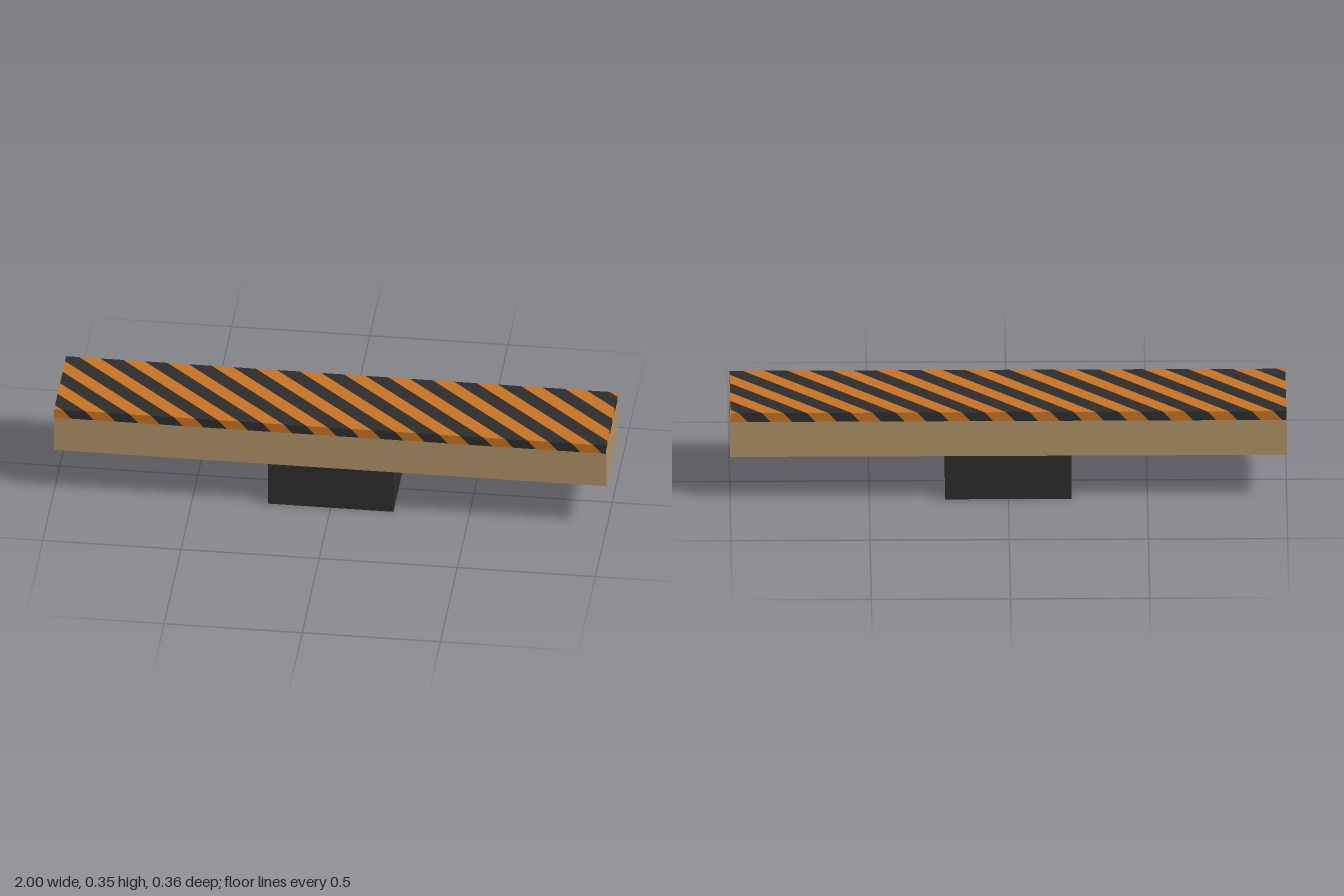
import * as THREE from 'three';

const material = (name, color) => {
  const m = new THREE.MeshStandardMaterial({ color });
  m.name = name;
  return m;
};

const PERIOD = 0.16;   // stripe spacing along x
const SLANT = 1.08;    // stripe shift in x per unit of z

// Keep the part of a polygon where f(p) >= 0
function clip(poly, f) {
  const out = [];
  poly.forEach((p, i) => {
    const q = poly[(i + 1) % poly.length];
    const a = f(p), b = f(q);
    if (a >= 0) out.push(p);
    if ((a >= 0) !== (b >= 0)) {
      const t = a / (a - b);
      out.push([p[0] + (q[0] - p[0]) * t, p[1] + (q[1] - p[1]) * t]);
    }
  });
  return out;
}

// A w by h rectangle facing +z, cut into alternating bands of c + a*u + b*v
function stripedFace(w, h, c, a, b, materials) {
  const x = w / 2, y = h / 2;
  const rect = [[-x, -y], [x, -y], [x, y], [-x, y]];
  const field = ([u, v]) => c + a * u + b * v;
  const tris = [[], []];
  const half = PERIOD * 0.26;
  for (let n = -12; n <= 12; n++) {
    const mid = n * PERIOD;
    const bands = [[mid - half, mid + half], [mid + half, mid + PERIOD - half]];
    bands.forEach(([lo, hi], k) => {
      const poly = clip(clip(rect, p => field(p) - lo), p => hi - field(p));
      for (let i = 1; i < poly.length - 1; i++) {
        for (const p of [poly[0], poly[i], poly[i + 1]]) tris[k].push(p[0], p[1], 0);
      }
    });
  }
  const geometry = new THREE.BufferGeometry();
  geometry.setAttribute('position', new THREE.Float32BufferAttribute(tris.flat(), 3));
  geometry.addGroup(0, tris[0].length / 3, 0);
  geometry.addGroup(tris[0].length / 3, tris[1].length / 3, 1);
  geometry.computeVertexNormals();
  return new THREE.Mesh(geometry, materials);
}

export function createModel() {
  const dark = material('charcoal', 0x2d2d2d);
  const orange = material('warning orange', 0xc87322);
  const wood = material('tan wood', 0xb09468);
  const model = new THREE.Group();
  model.name = 'stripedPlatform';

  const box = (name, mat, w, d, y0, y1) => {
    const mesh = new THREE.Mesh(new THREE.BoxGeometry(w, y1 - y0, d), mat);
    mesh.name = name;
    mesh.position.y = (y0 + y1) / 2;
    model.add(mesh);
  };
  box('pedestal', dark, 0.454, 0.316, 0, 0.18);
  box('beam', wood, 2, 0.352, 0.18, 0.328);

  // Striped cover slab, one cut face per side
  const X = 0.9985, Z = 0.179, H = 0.035;
  const paint = [dark, orange];
  const cover = new THREE.Group();
  cover.name = 'stripedCover';
  cover.position.y = 0.32 + H / 2;
  model.add(cover);

  const top = stripedFace(2 * X, 2 * Z, 0, 1, SLANT, paint);
  top.name = 'coverTop';
  top.rotation.x = -Math.PI / 2;
  top.position.y = H / 2;
  const bottom = stripedFace(2 * X, 2 * Z, 0, 1, -SLANT, paint);
  bottom.name = 'coverUnderside';
  bottom.rotation.x = Math.PI / 2;
  bottom.position.y = -H / 2;
  cover.add(top, bottom);

  // The long edge and end repeat on the opposite side by a half turn
  for (const [label, turn] of [['front', 0], ['back', Math.PI]]) {
    const half = new THREE.Group();
    half.name = label + 'CoverEdges';
    half.rotation.y = turn;
    const edge = stripedFace(2 * X, H, -Z * SLANT - 0.9 * H / 2, 1, 0.9, paint);
    edge.name = 'coverLongEdge';
    edge.position.z = Z;
    const end = stripedFace(2 * Z, H, X - 0.5 * H / 2, SLANT, 0.5, paint);
    end.name = 'coverEnd';
    end.rotation.y = Math.PI / 2;
    end.position.x = X;
    half.add(edge, end);
    cover.add(half);
  }
  return model;
}
